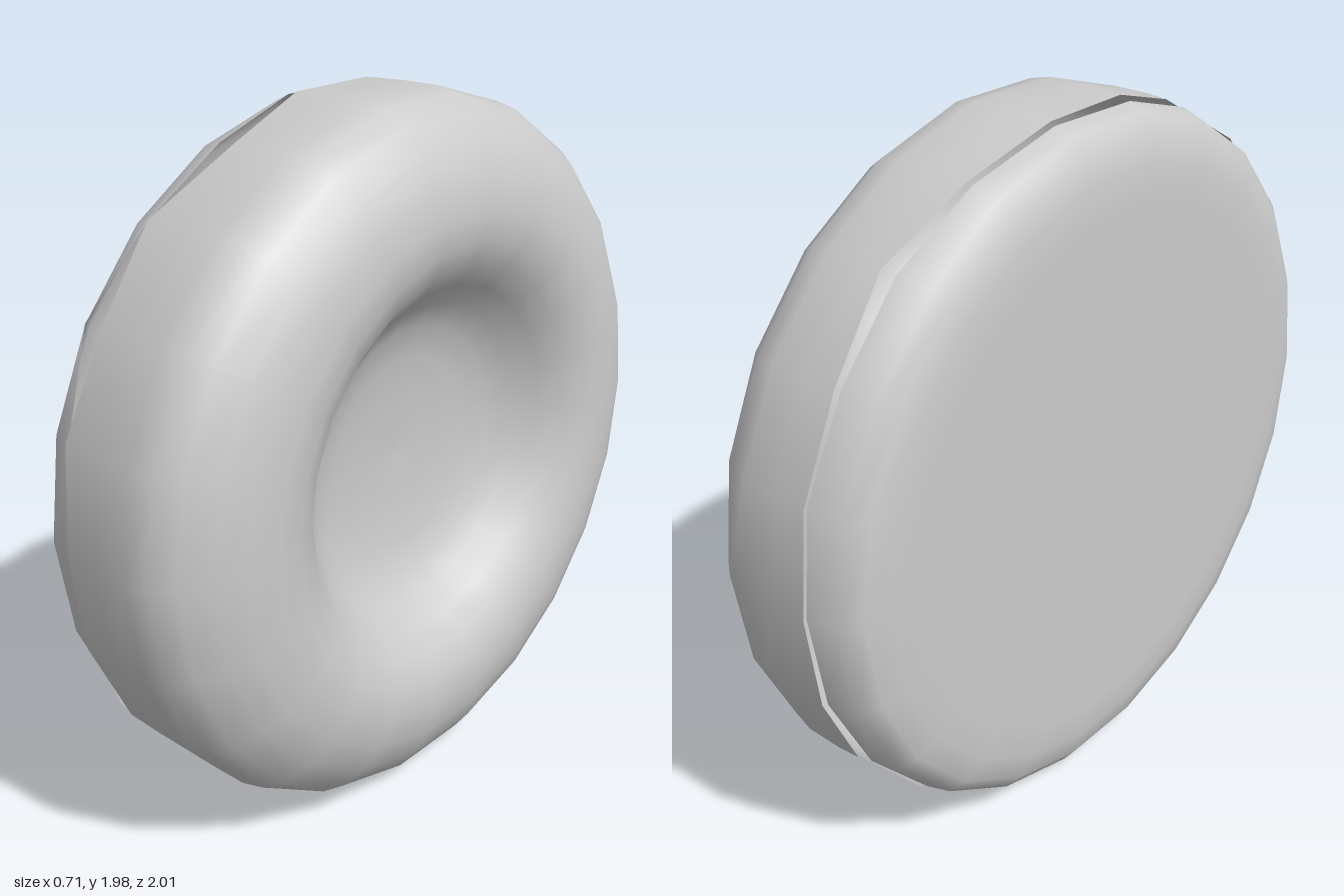
import * as THREE from 'three';

const SIDES = 22;

// Torn seam: x of each shell's edge, counted from the front (+z) over the top to the back and under
const CAP_EDGE = [-0.14, -0.16, -0.21, -0.18, -0.17, -0.19, -0.18, -0.16, -0.14, -0.14, -0.13,
  -0.14, -0.14, -0.15, -0.16, -0.17, -0.18, -0.20, -0.19, -0.18, -0.20, -0.15];
const BODY_EDGE = [-0.14, -0.16, -0.14, -0.17, -0.11, -0.16, -0.17, -0.15, -0.10, -0.13, -0.13,
  -0.14, -0.13, -0.11, -0.14, -0.12, -0.16, -0.15, -0.16, -0.17, -0.15, -0.15];

// Lathe turned about x; the ring at index edgeRing is moved onto the torn edge
function shell(name, profile, edgeRing, edge) {
  const points = profile.map(([r, x]) => new THREE.Vector2(r, x));
  const geometry = new THREE.LatheGeometry(points, SIDES);
  geometry.rotateZ(-Math.PI / 2);
  const pos = geometry.attributes.position;
  for (let i = 0; i <= SIDES; i++) {
    pos.setX(i * points.length + edgeRing, edge[(SIDES - i) % SIDES]);
  }
  const material = new THREE.MeshStandardMaterial({ color: 0xcccccc, side: THREE.DoubleSide });
  const mesh = new THREE.Mesh(geometry, material);
  mesh.name = name;
  return mesh;
}

export function createModel() {
  const group = new THREE.Group();
  group.name = 'splitWheel';

  // Dimpled main body: tread, rounded shoulder, crest and sunken bowl
  const body = [
    [0.995, -0.14], [1.0, -0.04], [1.0, 0.07], [0.985, 0.135], [0.945, 0.19],
    [0.875, 0.242], [0.80, 0.274], [0.71, 0.29], [0.63, 0.28], [0.56, 0.25],
    [0.50, 0.20], [0.44, 0.14], [0.37, 0.095], [0.28, 0.07], [0.15, 0.055], [0, 0.05],
  ];
  group.add(shell('dimpledBody', body, 0, BODY_EDGE));

  // Flat back cap with a rounded rim
  const cap = [
    [0, -0.285], [0.4, -0.285], [0.76, -0.285], [0.85, -0.281],
    [0.92, -0.265], [0.965, -0.232], [0.985, -0.16],
  ];
  group.add(shell('backCap', cap, cap.length - 1, CAP_EDGE));

  // Slight turn about the vertical
  group.rotation.y = 0.088;
  group.position.y = 0.99;
  const model = new THREE.Group();
  model.name = 'wheel';
  model.add(group);
  return model;
}
